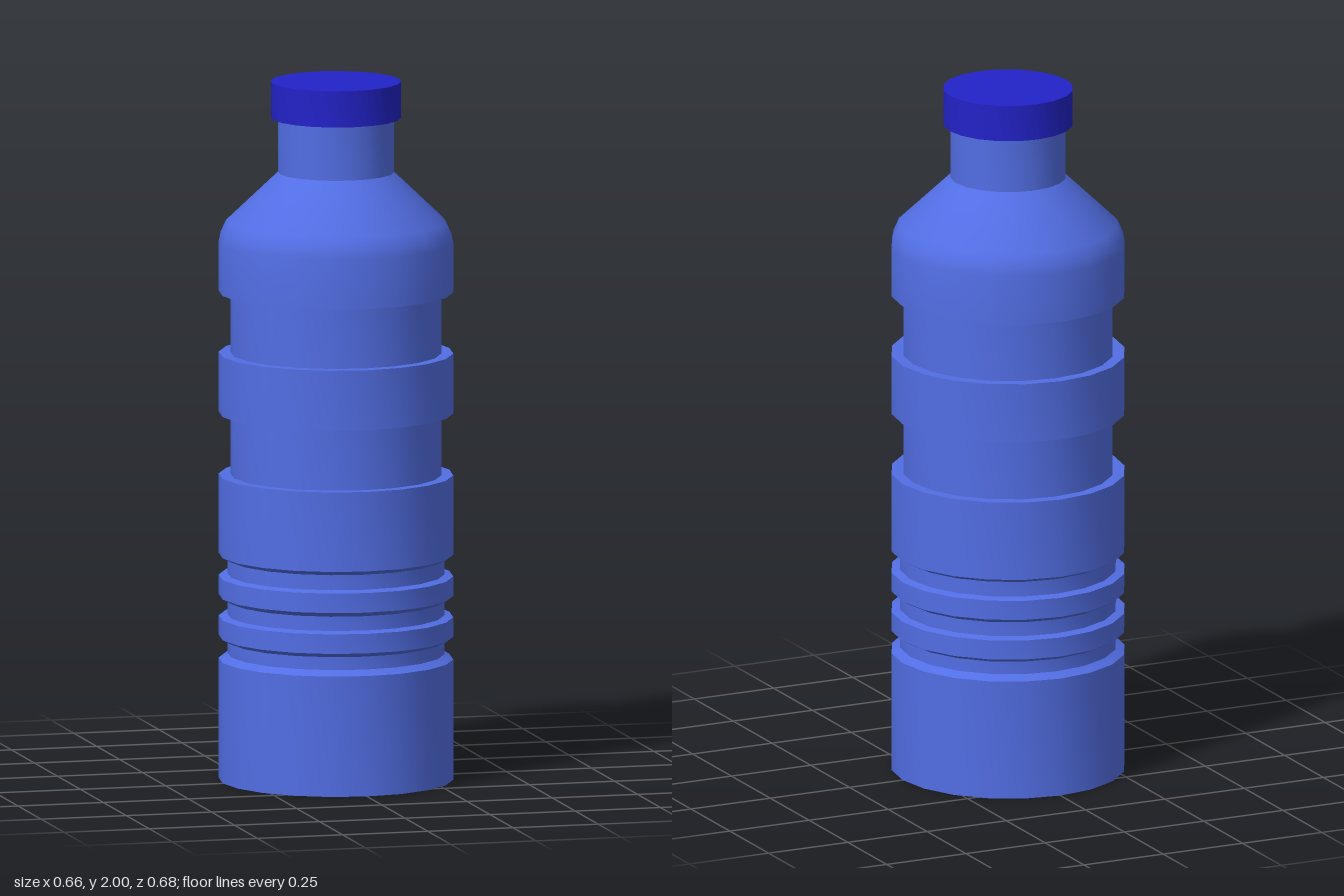
import * as THREE from 'three';
import { toCreasedNormals } from 'three/addons/utils/BufferGeometryUtils.js';

const SIDES = 20;
const R = 0.338;       // full body radius
const GROOVE = 0.313;  // narrow rib grooves
const GRIP = 0.304;    // wide grip recesses
const NECK = 0.167;
const CAP = 0.188;

// Revolve a [radius, height] profile, keeping hard steps sharp
function turned(name, profile, material) {
  const points = profile.map(([r, y]) => new THREE.Vector2(r, y));
  const geometry = toCreasedNormals(new THREE.LatheGeometry(points, SIDES), 0.53);
  const mesh = new THREE.Mesh(geometry, material);
  mesh.name = name;
  return mesh;
}

export function createModel() {
  const bodyBlue = new THREE.MeshStandardMaterial({ color: 0x526ee4 });
  bodyBlue.name = 'body blue';
  const capBlue = new THREE.MeshStandardMaterial({ color: 0x2222c8 });
  capBlue.name = 'cap blue';

  // Base, then three bevelled grooves
  const profile = [[0, 0], [R, 0]];
  const grooves = [
    [0.345, 0.36, 0.397, 0.41],
    [0.466, 0.472, 0.513, 0.527],
    [0.583, 0.589, 0.632, 0.645],
  ];
  for (const [a, b, c, d] of grooves) {
    profile.push([R, a], [GROOVE, b], [GROOVE, c], [R, d]);
  }
  // Two square grip recesses
  for (const [low, high] of [[0.873, 1.05], [1.222, 1.397]]) {
    profile.push([R, low], [GRIP, low], [GRIP, high], [R, high]);
  }
  // Rounded shoulder and neck
  profile.push([R, 1.54], [0.333, 1.565], [0.317, 1.6], [NECK, 1.74], [NECK, 1.9]);

  const bottle = new THREE.Group();
  bottle.name = 'bottle';
  bottle.add(
    turned('body', profile, bodyBlue),
    turned('cap', [[0, 1.896], [CAP, 1.896], [CAP, 2], [0, 2]], capBlue),
  );
  // Slightly oval cross-section
  bottle.scale.x = 0.983;
  return bottle;
}
